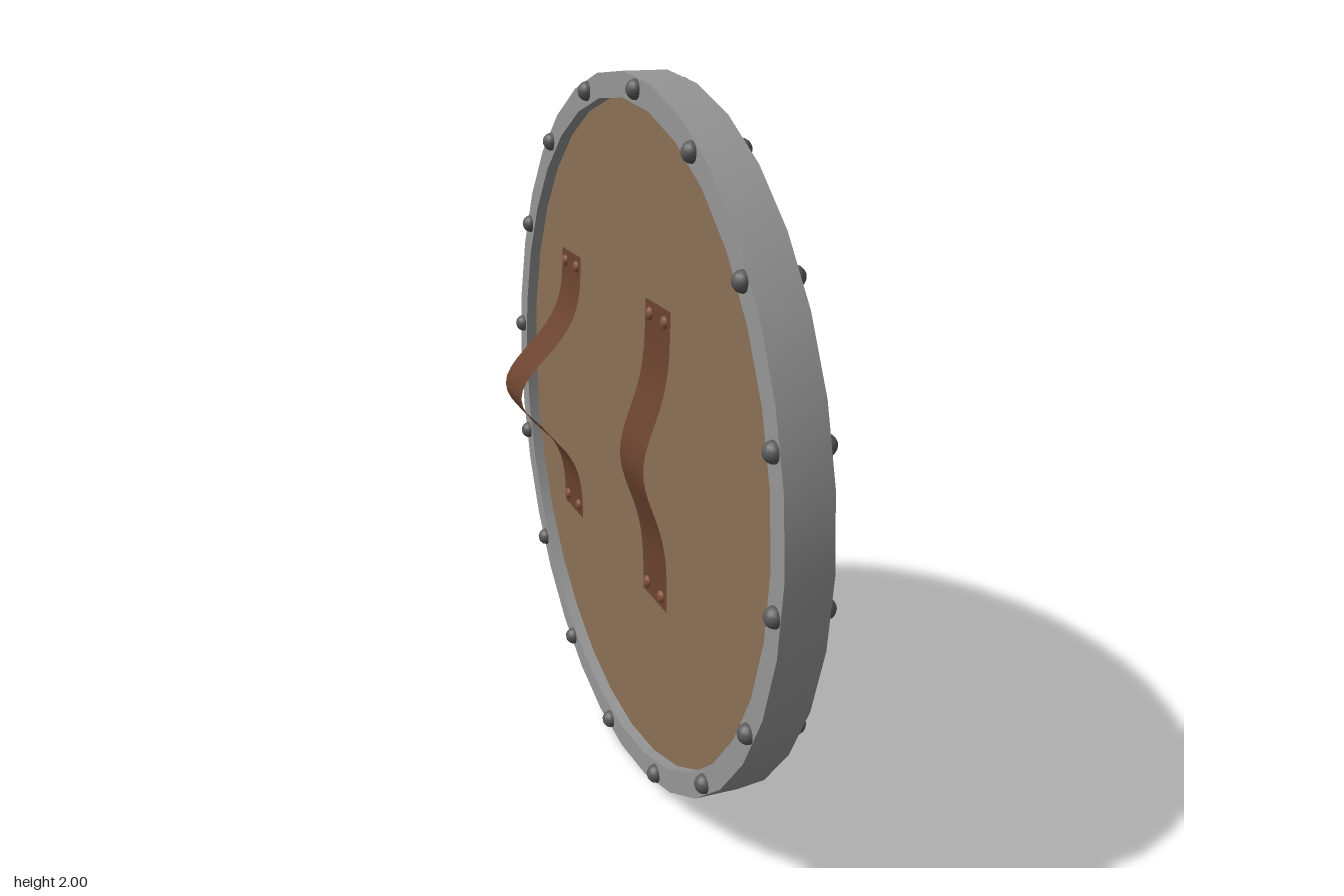
import * as THREE from 'three';
import { toCreasedNormals } from 'three/addons/utils/BufferGeometryUtils.js';

const metal = new THREE.MeshStandardMaterial({ color: 0x969696 });
const wood = new THREE.MeshStandardMaterial({ color: 0x8a7056 });
const darkMetal = new THREE.MeshStandardMaterial({ color: 0x5a5a5a });
const leather = new THREE.MeshStandardMaterial({ color: 0x6b432f, side: THREE.DoubleSide });
const copper = new THREE.MeshStandardMaterial({ color: 0x84523a });
Object.entries({ metal, wood, darkMetal, leather, copper }).forEach(([n, m]) => { m.name = n; });

const BACK = 0.004, FRONT = 0.128;          // rim faces along x
const BOARD_BACK = 0.037, BOARD_FRONT = 0.068;

function add(parent, name, geometry, material, x = 0, y = 0, z = 0) {
  const mesh = new THREE.Mesh(geometry, material);
  mesh.name = name;
  mesh.position.set(x, y, z);
  parent.add(mesh);
  return mesh;
}

// Turned part whose axis lies along x; profile points are [radius, x]
function turned(profile, segments) {
  const g = new THREE.LatheGeometry(profile.map(([r, x]) => new THREE.Vector2(r, x)), segments);
  return g.rotateZ(-Math.PI / 2);
}

// Leather ribbon bulging away from the back of the board
function strapGeometry(width, bulge) {
  const g = new THREE.PlaneGeometry(width, 0.85, 1, 32).rotateY(-Math.PI / 2);
  const p = g.attributes.position;
  for (let i = 0; i < p.count; i++) p.setX(i, -bulge * Math.exp(-((p.getY(i) / 0.169) ** 2)));
  g.computeVertexNormals();
  return g;
}

export function createModel() {
  const shield = new THREE.Group();
  shield.name = 'shield';

  // Metal rim: a ring of rectangular section
  const rim = turned([[1, BACK], [1, FRONT], [0.933, FRONT], [0.933, BACK], [1, BACK]], 32);
  add(shield, 'rim', toCreasedNormals(rim, 0.6), metal, 0, 1, 0);

  // Wooden board set inside the rim
  const board = new THREE.CylinderGeometry(0.936, 0.936, BOARD_FRONT - BOARD_BACK, 32).rotateZ(-Math.PI / 2);
  add(shield, 'board', board, wood, (BOARD_BACK + BOARD_FRONT) / 2, 1, 0);

  // Shallow domed boss
  const dome = new THREE.SphereGeometry(0.385, 48, 16, 0, Math.PI * 2, 0, Math.PI / 2);
  dome.rotateZ(-Math.PI / 2).scale(0.058 / 0.385, 1, 1);
  add(shield, 'boss', dome, metal, BOARD_FRONT, 1, 0);

  // Rivets around both faces of the rim
  const rivet = new THREE.SphereGeometry(0.027, 14, 10);
  for (const [side, x] of [['front', FRONT], ['back', BACK]]) {
    for (let i = 0; i < 16; i++) {
      const a = 0.1 + (i * Math.PI) / 8;
      add(shield, side + 'RimRivet', rivet, darkMetal, x, 1 + 0.967 * Math.cos(a), 0.967 * Math.sin(a));
    }
  }

  // Hand grip and arm strap, each held by four small rivets
  const stud = new THREE.SphereGeometry(0.018, 10, 8).scale(0.6, 1, 1);
  for (const [name, z, bulge] of [['handGrip', -0.525, 0.196], ['armStrap', 0.183, 0.072]]) {
    const group = new THREE.Group();
    group.name = name;
    group.position.set(BOARD_BACK - 0.003, 1, z);
    add(group, name + 'Band', strapGeometry(0.175, bulge), leather);
    for (const sy of [-1, 1]) {
      for (const sz of [-1, 1]) add(group, name + 'Rivet', stud, copper, -0.002, sy * 0.39, sz * 0.052);
    }
    shield.add(group);
  }
  return shield;
}
